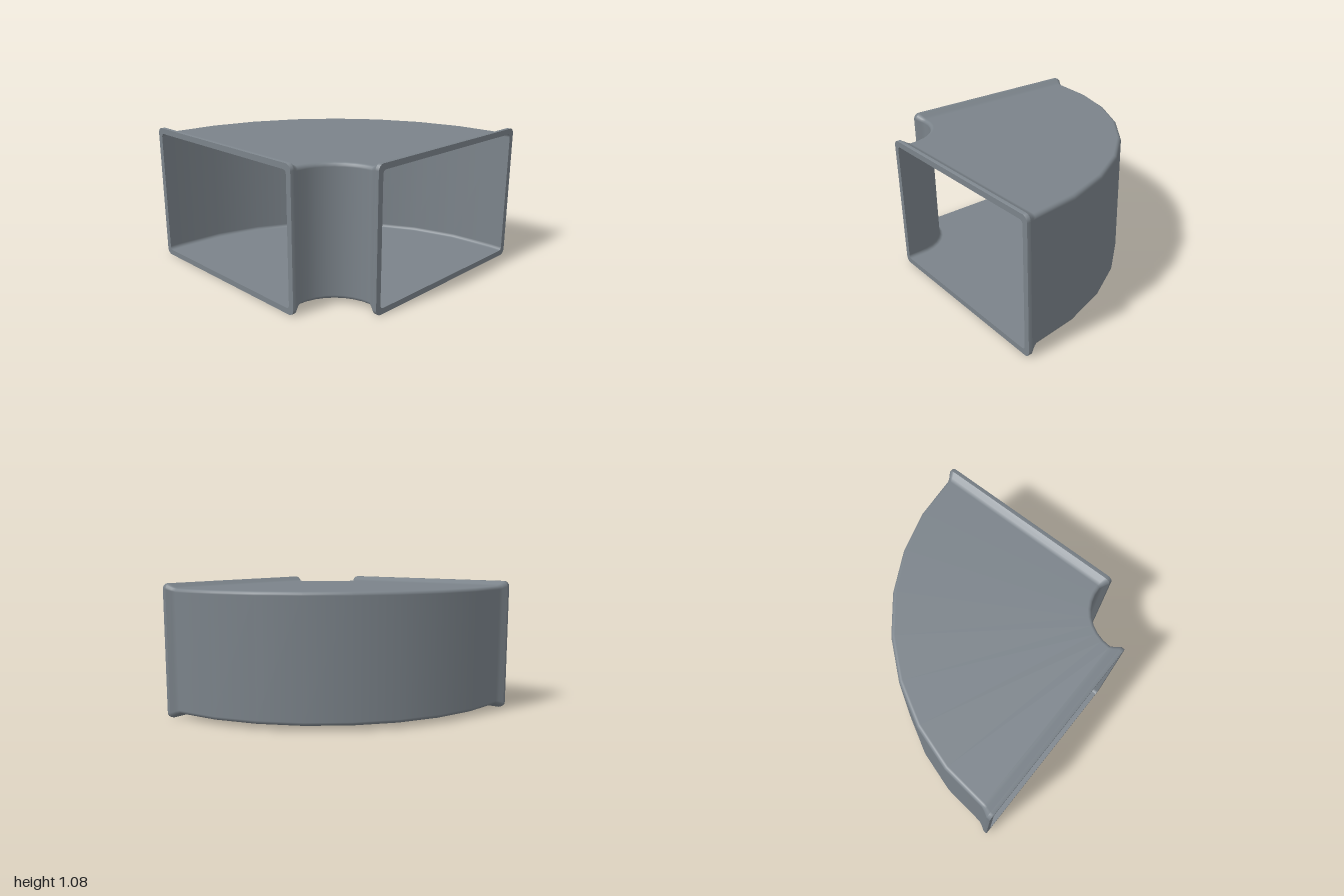
import * as THREE from 'three';

const CX = -0.9, CZ = 0.9, BEND = 1.1;      // bend axis and centreline radius
const MID = 0.54, W = 0.762, H = 0.502, R = 0.03; // duct section
const FLARE = 0.038, WALL = -0.006;

// Rounded rectangle grown by o: points with outward normals, counter-clockwise
function section(o) {
  const r = R + 0.4 * o, w = W + o - r, h = H + o - r, steps = 4;
  const pts = [];
  [[1, 1], [-1, 1], [-1, -1], [1, -1]].forEach(([sx, sy], q) => {
    for (let i = 0; i <= steps; i++) {
      const a = (q + i / steps) * Math.PI / 2;
      const nx = Math.cos(a), ny = Math.sin(a);
      pts.push([sx * w + r * nx, sy * h + r * ny, nx, ny]);
    }
  });
  return pts;
}

// Each frame: a = bend angle, s = shift along the duct, o = growth,
// n / k = weights of section normal and duct direction in the shading normal
function sweep(frames) {
  const pos = [], nor = [], idx = [];
  const count = section(0).length;
  frames.forEach(({ a, s, o, n, k }, j) => {
    const ux = Math.cos(a), uz = -Math.sin(a), tx = -Math.sin(a), tz = -Math.cos(a);
    section(o).forEach(([p, q, nx, ny], i) => {
      pos.push(CX + (BEND + p) * ux + s * tx, MID + q, CZ + (BEND + p) * uz + s * tz);
      const v = new THREE.Vector3(n * nx * ux + k * tx, n * ny, n * nx * uz + k * tz).normalize();
      nor.push(v.x, v.y, v.z);
      if (j < frames.length - 1) {
        const A = j * count + i, D = j * count + (i + 1) % count;
        idx.push(A, A + count, D + count, A, D + count, D);
      }
    });
  });
  const g = new THREE.BufferGeometry();
  g.setAttribute('position', new THREE.Float32BufferAttribute(pos, 3));
  g.setAttribute('normal', new THREE.Float32BufferAttribute(nor, 3));
  g.setIndex(idx);
  return g;
}

export function createModel() {
  const group = new THREE.Group();
  group.name = 'ductElbow';
  const material = new THREE.MeshStandardMaterial({ color: 0x7b838a });
  const add = (name, frames) => {
    const mesh = new THREE.Mesh(sweep(frames), material);
    mesh.name = name;
    group.add(mesh);
  };
  const END = Math.PI / 2, SEG = 8;
  const arc = (o, n) => Array.from({ length: SEG + 1 }, (_, i) =>
    ({ a: END * i / SEG, s: 0, o, n, k: 0 }));

  // Outer skin of the quarter bend
  add('outerShell', arc(0, 1));

  // Inner lining, swept the other way so it faces inwards
  const inner = arc(WALL, -1);
  inner.unshift({ a: 0, s: -0.1, o: WALL, n: -1, k: 0 });
  inner.push({ a: END, s: 0.1, o: WALL, n: -1, k: 0 });
  add('innerLining', inner.reverse());

  // Collar parts at the front end, each mirrored to the side end
  const collar = {
    Lip: [
      { s: -0.1, o: FLARE, n: 1, k: -0.4 },
      { s: -0.07, o: FLARE, n: 1, k: -0.15 },
    ],
    Flare: [
      { s: -0.07, o: FLARE, n: 1, k: 0.55 },
      { s: -0.03, o: 0.013, n: 1, k: 0.5 },
      { s: 0, o: 0, n: 1, k: 0 },
    ],
    Rim: [
      { s: -0.1, o: WALL, n: 0, k: -1 },
      { s: -0.1, o: FLARE, n: 0, k: -1 },
    ],
  };
  for (const [part, frames] of Object.entries(collar)) {
    add('front' + part, frames.map(f => ({ ...f, a: 0 })));
    add('side' + part, frames.map(f => ({ ...f, a: END, s: -f.s, k: -f.k })).reverse());
  }
  return group;
}
